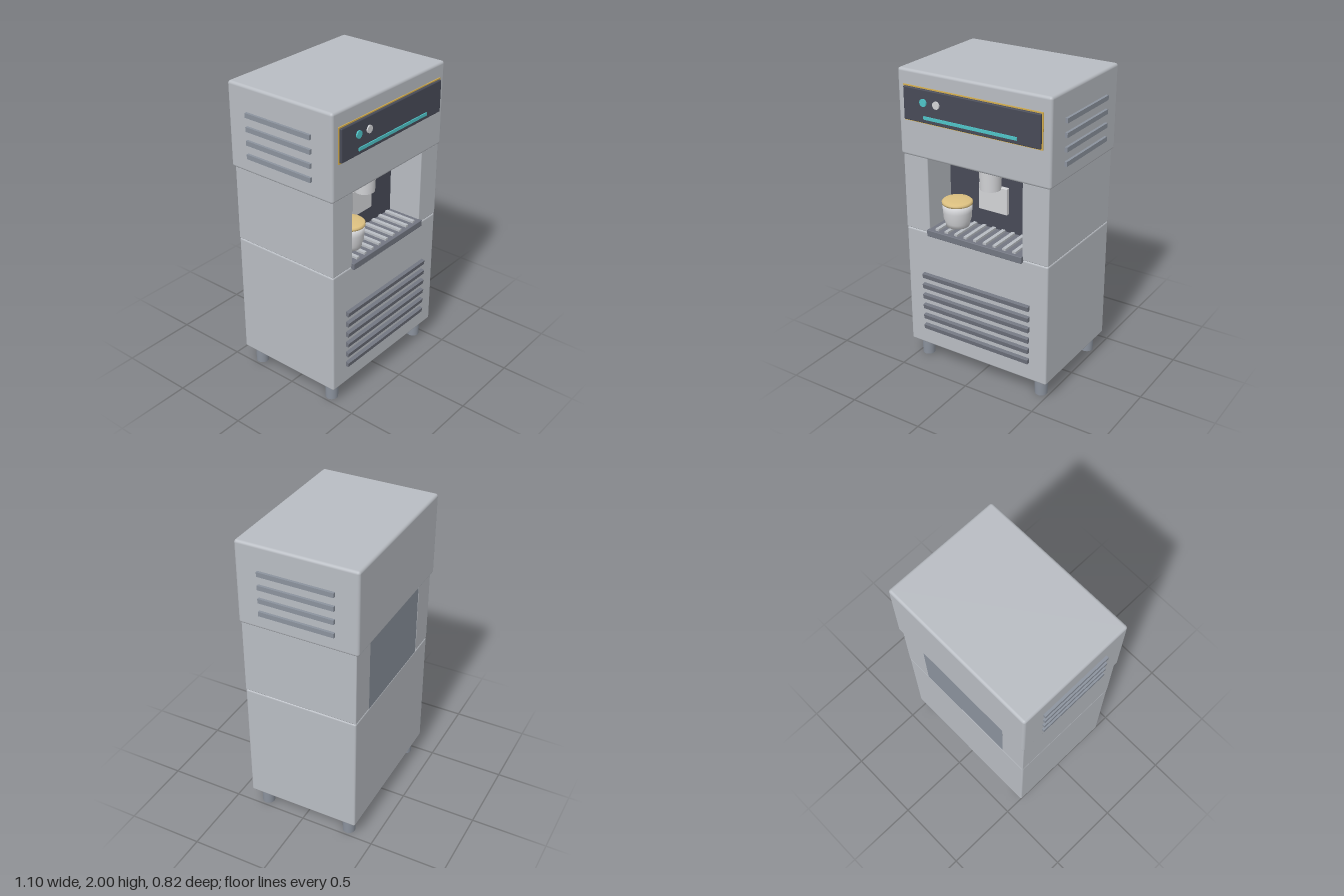
import * as THREE from 'three';
import { RoundedBoxGeometry } from 'three/addons/geometries/RoundedBoxGeometry.js';

const paint = (name, color) => {
  const m = new THREE.MeshStandardMaterial({ color });
  m.name = name;
  return m;
};

export function createModel() {
  const model = new THREE.Group();
  model.name = 'dispenserMachine';

  const steel = paint('brushedSteel', 0xb8bcc2);
  const grey = paint('midGrey', 0x8b929d);
  const vent = paint('ventGrey', 0x727681);
  const dark = paint('darkPanel', 0x474a57);
  const white = paint('offWhite', 0xd2d3d6);
  const gold = paint('gold', 0xd2ac4e);
  const cream = paint('lidCream', 0xdcc080);
  const cyan = paint('cyanLight', 0x4fc4c8);

  const add = (name, geometry, material, x, y, z) => {
    const mesh = new THREE.Mesh(geometry, material);
    mesh.name = name;
    mesh.position.set(x, y, z);
    model.add(mesh);
    return mesh;
  };
  // Box given by its extents; r > 0 rounds the edges
  const block = (name, material, [x0, x1], [y0, y1], [z0, z1], r = 0) => {
    const s = [x1 - x0, y1 - y0, z1 - z0];
    const g = r ? new RoundedBoxGeometry(...s, 3, r) : new THREE.BoxGeometry(...s);
    return add(name, g, material, (x0 + x1) / 2, (y0 + y1) / 2, (z0 + z1) / 2);
  };

  // Cabinet, bay sides and head
  block('lowerCabinet', steel, [-0.52, 0.52], [0.12, 0.953], [-0.39, 0.37], 0.012);
  block('head', steel, [-0.533, 0.533], [1.45, 2], [-0.408, 0.38], 0.018);
  for (const s of [-1, 1]) {
    const x = s < 0 ? [-0.52, -0.34] : [0.34, 0.52];
    block('baySide', steel, x, [0.953, 1.455], [-0.39, 0.37], 0.006);
  }

  // Back of the serving bay with its dark lining
  block('bayBack', grey, [-0.341, 0.341], [0.945, 1.455], [-0.388, 0.135]);
  block('bayLining', dark, [-0.335, 0.335], [0.95, 1.452], [0.135, 0.143]);

  // Legs
  for (const x of [-0.443, 0.443])
    for (const z of [-0.313, 0.292])
      add('leg', new THREE.CylinderGeometry(0.043, 0.041, 0.13, 24), grey, x, 0.065, z);

  // Front grille slats
  for (let i = 0; i < 6; i++) {
    const slat = add('grilleSlat', new THREE.BoxGeometry(0.795, 0.032, 0.026), vent, 0, 0.262 + i * 0.0755, 0.378);
    slat.rotation.x = 0.2;
  }

  // Side vents on the head
  for (const s of [-1, 1])
    for (let i = 0; i < 4; i++)
      add('sideVent', new THREE.BoxGeometry(0.03, 0.03, 0.49), grey, s * 0.535, 1.563 + i * 0.0875, -0.015);

  // Control panel with trim, indicator lights and light bar
  block('panelTrim', gold, [-0.486, 0.482], [1.684, 1.907], [0.375, 0.386]);
  block('controlPanel', dark, [-0.478, 0.474], [1.692, 1.899], [0.38, 0.401], 0.006);
  block('lightBar', cyan, [-0.33, 0.323], [1.717, 1.737], [0.398, 0.407]);
  [[-0.33, cyan], [-0.236, white]].forEach(([x, m]) => {
    const light = add('indicatorLight', new THREE.CylinderGeometry(0.024, 0.024, 0.014, 24), m, x, 1.82, 0.402);
    light.rotation.x = Math.PI / 2;
  });

  // Drip tray and its bars
  block('dripTray', vent, [-0.348, 0.348], [0.936, 0.98], [0.14, 0.391], 0.004);
  for (let i = -4; i <= 4; i++)
    block('trayBar', steel, [i * 0.071 - 0.012, i * 0.071 + 0.012], [0.975, 0.994], [0.15, 0.37]);

  // Nozzle and dispensing plate
  add('nozzle', new THREE.CylinderGeometry(0.073, 0.066, 0.19, 32), white, 0, 1.365, 0.19);
  block('dispensingPlate', white, [-0.104, 0.104], [1.103, 1.28], [0.14, 0.168], 0.004);

  // Cup with lid
  const cupProfile = [[0, 0], [0.075, 0], [0.078, 0.025], [0.088, 0.05], [0.092, 0.1], [0.094, 0.15], [0, 0.15]]
    .map(([r, y]) => new THREE.Vector2(r, y));
  add('cup', new THREE.LatheGeometry(cupProfile, 32), white, -0.213, 0.994, 0.245);
  const lidProfile = [[0, 0], [0.097, 0], [0.098, 0.012], [0.09, 0.02], [0.05, 0.024], [0, 0.025]]
    .map(([r, y]) => new THREE.Vector2(r, y));
  add('cupLid', new THREE.LatheGeometry(lidProfile, 32), cream, -0.213, 1.144, 0.245);

  return model;
}
